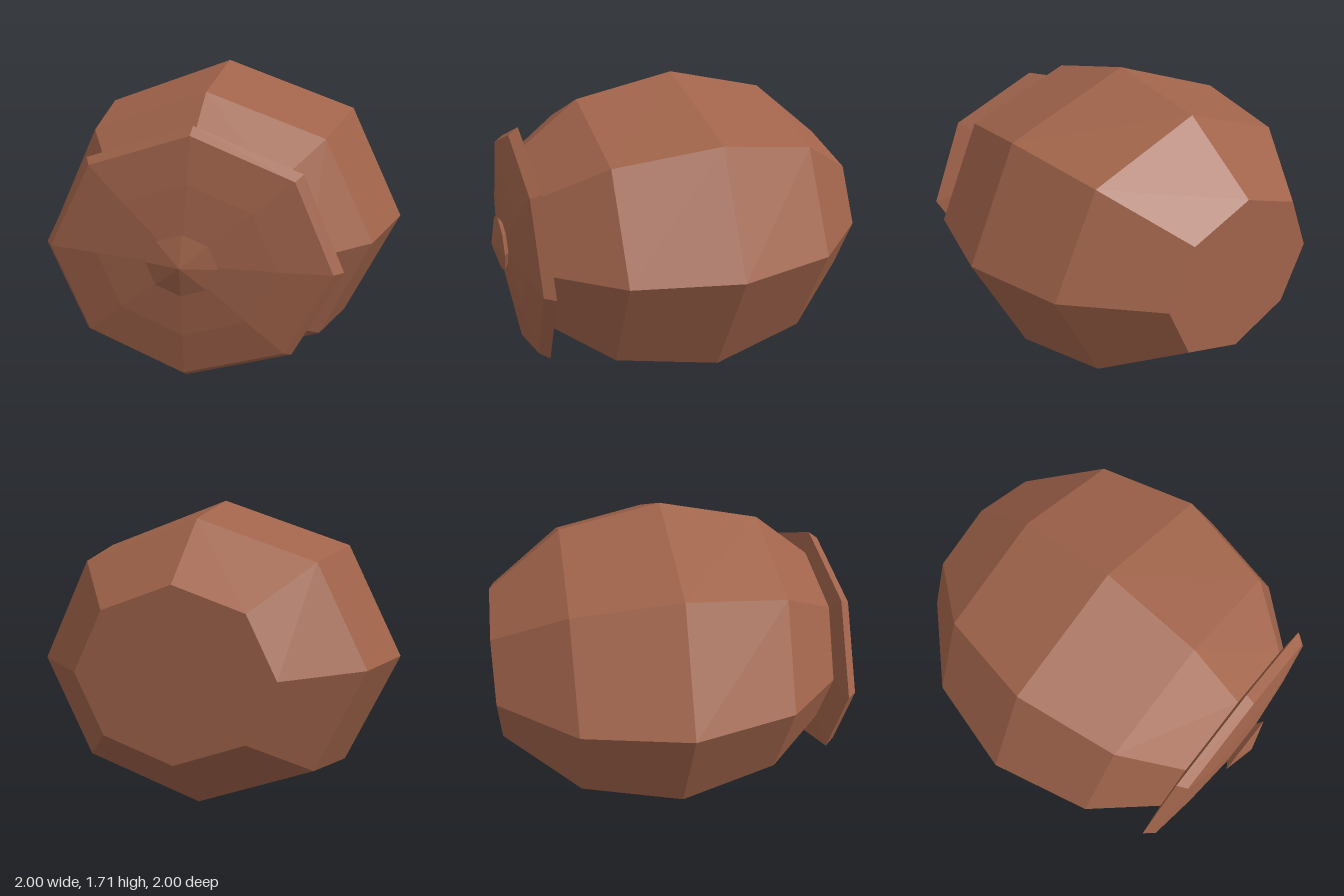
import * as THREE from 'three';

const SIDES = 8;
const SQUASH = 0.857; // the cross-sections are wider than tall

// Faceted octagonal turning along +z from [radius, z] points, twisted then flattened in y
function turned(name, profile, material, twist = 0) {
  const points = profile.map(([r, z]) => new THREE.Vector2(r, z));
  const geometry = new THREE.LatheGeometry(points, SIDES);
  geometry.rotateX(Math.PI / 2);
  geometry.rotateZ(twist);
  geometry.scale(1, SQUASH, 1);
  const flat = geometry.toNonIndexed();
  flat.computeVertexNormals();
  const mesh = new THREE.Mesh(flat, material);
  mesh.name = name;
  return mesh;
}

export function createModel() {
  const group = new THREE.Group();
  group.name = 'potOnItsSide';

  const clay = new THREE.MeshStandardMaterial({ color: 0xa0634a, flatShading: true });
  clay.name = 'clay';

  // Bulging body with a flat base at the back
  const body = turned('body', [
    [0, -1], [0.5, -1], [0.865, -0.6], [1, -0.055], [0.865, 0.49], [0.585, 0.8],
  ], clay);
  body.position.y = 0.857;

  // Lid, turned slightly on the body
  const twist = THREE.MathUtils.degToRad(-2);
  const lid = turned('lid', [
    [0, 0.799], [0.6, 0.799], [0.757, 0.815], [0.712, 0.868], [0.45, 0.905], [0.14, 0.932],
  ], clay, twist);

  // Pointed knob in the middle of the lid
  const knob = turned('knob', [[0.14, 0.932], [0.181, 0.957], [0, 1]], clay, twist);

  for (const part of [lid, knob]) part.position.set(-0.007, 0.83, 0);

  group.add(body, lid, knob);
  return group;
}
